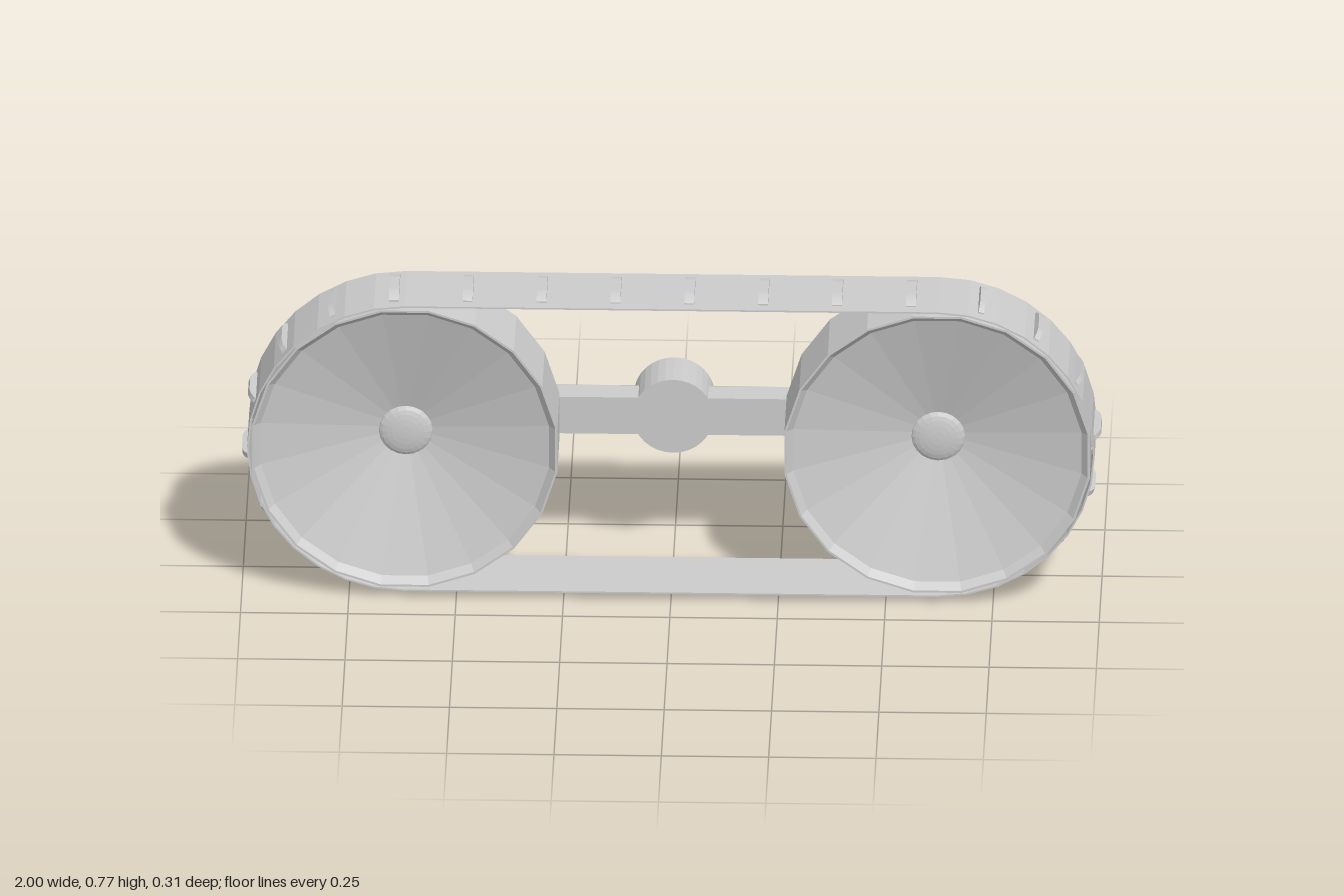
import * as THREE from 'three';

const CY = 0.3845;           // axle height
const AX = 0.62;             // wheel centre offset
const BACK = -0.035, FRONT = 0.157;
const BELT_R = 0.367;

const flat = new THREE.MeshStandardMaterial({ color: 0xcccccc, flatShading: true, side: THREE.DoubleSide });

function add(parent, name, geometry) {
  const mesh = new THREE.Mesh(geometry, flat);
  mesh.name = name;
  parent.add(mesh);
  return mesh;
}

// Points of a horizontal stadium outline, counter-clockwise
function stadium(halfLength, radius, segments = 16) {
  const points = [];
  for (const side of [1, -1]) {
    for (let i = 0; i <= segments; i++) {
      const a = -Math.PI / 2 + (Math.PI * i) / segments;
      points.push(new THREE.Vector2(side * (halfLength + radius * Math.cos(a)), side * radius * Math.sin(a)));
    }
  }
  return points;
}

function extrude(shape, z0, z1) {
  return new THREE.ExtrudeGeometry(shape, { depth: z1 - z0, bevelEnabled: false, curveSegments: 8 }).translate(0, 0, z0);
}

// Drum with a chamfered rim, a conical dish in front and a low hub cap
function makeWheel(x) {
  const wheel = new THREE.Group();
  wheel.name = x > 0 ? 'leftWheel' : 'rightWheel';
  wheel.position.x = x;
  const profile = [
    [0, BACK], [0.36, BACK], [0.36, FRONT], [0.355, FRONT], [0.34, 0.138], [0.06, 0.055], [0, 0.055],
  ].map(([r, z]) => new THREE.Vector2(r, z));
  add(wheel, 'drum', new THREE.LatheGeometry(profile, 20, Math.PI / 20).rotateX(Math.PI / 2));
  const cap = new THREE.SphereGeometry(0.063, 20, 6, 0, Math.PI * 2, 0, Math.PI / 2);
  add(wheel, 'hubCap', cap.scale(1, 0.25, 1).rotateX(Math.PI / 2).translate(0, 0, 0.055));
  return wheel;
}

// Cleat: low bar across the belt with rounded ends; y points outwards
function cleatGeometry(width) {
  const s = new THREE.Shape();
  s.moveTo(-0.068, -0.003);
  s.lineTo(0.068, -0.003);
  s.lineTo(0.068, 0.003);
  s.quadraticCurveTo(0.052, 0.015, 0.03, 0.016);
  s.lineTo(-0.03, 0.016);
  s.quadraticCurveTo(-0.052, 0.015, -0.068, 0.003);
  s.closePath();
  return extrude(s, -width / 2, width / 2).rotateY(Math.PI / 2);
}

export function createModel() {
  const model = new THREE.Group();
  model.name = 'trackUnit';
  const body = new THREE.Group();
  body.name = 'body';
  body.position.y = CY;
  model.add(body);

  body.add(makeWheel(AX), makeWheel(-AX));

  // Thin belt around both wheels
  const beltShape = new THREE.Shape(stadium(AX, BELT_R));
  beltShape.holes.push(new THREE.Path(stadium(AX, BELT_R - 0.004).reverse()));
  add(body, 'belt', extrude(beltShape, BACK, FRONT));

  // Cleats: one straight run and one end arc, repeated with a half turn
  const runCleat = cleatGeometry(0.023);
  const arcCleat = cleatGeometry(0.013);
  for (const turn of [0, Math.PI]) {
    const half = new THREE.Group();
    half.name = turn ? 'lowerCleats' : 'upperCleats';
    half.rotation.z = turn;
    body.add(half);
    for (let i = 0; i < 8; i++) {
      add(half, 'runCleat', runCleat).position.set(-0.646 + 0.172 * i, BELT_R, 0.061);
    }
    for (let i = 0; i < 7; i++) {
      const a = THREE.MathUtils.degToRad(16 + 22.8 * i);
      const r = BELT_R - 0.001;
      const c = add(half, 'arcCleat', arcCleat);
      c.position.set(AX + r * Math.sin(a), r * Math.cos(a), 0.061);
      c.rotation.z = -a;
    }
  }

  // Rear connecting arm and its pivot
  const arm = extrude(new THREE.Shape(stadium(0.632, 0.047, 12)), -0.101, BACK);
  add(body, 'arm', arm.translate(-0.005, 0, 0));
  const pivot = new THREE.CylinderGeometry(0.094, 0.094, 0.122, 32);
  add(body, 'pivot', pivot.rotateX(Math.PI / 2).translate(0, 0, -0.096));

  return model;
}
